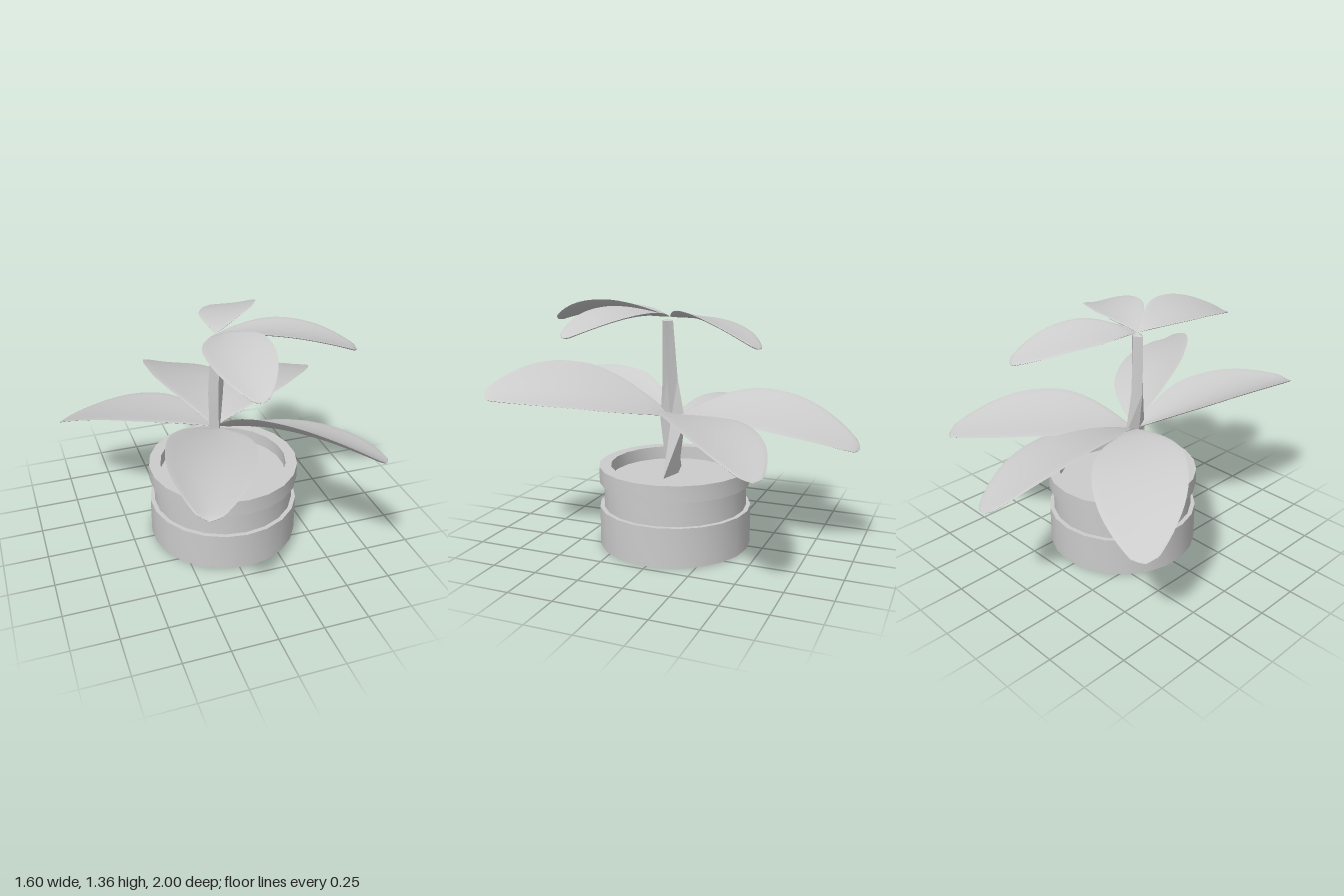
import * as THREE from 'three';
import { toCreasedNormals } from 'three/addons/utils/BufferGeometryUtils.js';

const grey = new THREE.MeshStandardMaterial({ color: 0xcccccc, side: THREE.DoubleSide });

function addMesh(parent, geometry, name) {
  const mesh = new THREE.Mesh(geometry, grey);
  mesh.name = name;
  parent.add(mesh);
}

// Skin over closed cross-sections: point(i, k) returns [x, y, z]
function loft(rings, sides, point) {
  const pos = [], index = [];
  for (let i = 0; i < rings; i++) {
    for (let k = 0; k < sides; k++) {
      pos.push(...point(i, k));
      if (i === rings - 1) continue;
      const a = i * sides + k, b = i * sides + (k + 1) % sides;
      index.push(a, a + sides, b, b, a + sides, b + sides);
    }
  }
  const g = new THREE.BufferGeometry();
  g.setAttribute('position', new THREE.Float32BufferAttribute(pos, 3));
  g.setIndex(index);
  return g;
}

// Leaf outline: (distance along midrib, relative half-width)
const outline = new THREE.SplineCurve([
  [0, 0], [0.03, 0.1], [0.12, 0.38], [0.25, 0.73], [0.38, 0.95], [0.5, 1.0], [0.63, 0.97],
  [0.76, 0.83], [0.88, 0.58], [0.96, 0.34], [0.985, 0.22], [1, 0],
].map(p => new THREE.Vector2(...p)));

// Arched, cupped leaf: roll tilts it sideways, cup lifts both edges
function leafGeometry({ base, tip, mid, width, roll, cup }) {
  const [bx, by, bz] = base, [tx, ty, tz] = tip;
  const dx = tx - bx, dz = tz - bz, len = Math.hypot(dx, dz);
  const rings = 34, sides = 20;
  const g = loft(rings, sides, (i, k) => {
    const p = outline.getPoint(i / (rings - 1));
    const s = p.x, w = Math.max(0, p.y);
    const angle = (k / sides) * Math.PI * 2;
    const t = Math.cos(angle);
    const rib = by * (1 - s) * (1 - 2 * s) + mid * 4 * s * (1 - s) + ty * s * (2 * s - 1);
    const thick = 0.009 * Math.sin(angle) * Math.min(1, w * 3);
    return [
      bx + dx * s - (dz / len) * t * w * width,
      rib + (roll * t + cup * t * t) * w + thick,
      bz + dz * s + (dx / len) * t * w * width,
    ];
  });
  return toCreasedNormals(g, 1.0);
}

export function createModel() {
  const model = new THREE.Group();
  model.name = 'pottedPlant';

  // Pot with recessed waist, rim and soil
  const profile = [
    [0, 0], [0.425, 0], [0.425, 0.22], [0.4, 0.22], [0.4, 0.36], [0.425, 0.36],
    [0.425, 0.45], [0.36, 0.45], [0.36, 0.37],
  ].map(p => new THREE.Vector2(...p));
  const pot = toCreasedNormals(new THREE.LatheGeometry(profile, 22), 0.6);
  pot.translate(0.042, 0, 0.005);
  addMesh(model, pot, 'pot');

  const soil = new THREE.CircleGeometry(0.365, 22);
  soil.rotateX(-Math.PI / 2).translate(0.042, 0.375, 0.005);
  addMesh(model, soil, 'soil');

  // Faceted stem: height, centre x, centre z, radius x, radius z
  const stemRings = [
    [0.37, -0.015, 0.045, 0.14, 0.035],
    [0.68, -0.02, 0.045, 0.03, 0.075],
    [0.92, -0.02, 0.06, 0.042, 0.045],
    [1.24, -0.01, 0.07, 0.042, 0.032],
    [1.25, -0.01, 0.07, 0, 0],
  ];
  const stem = loft(stemRings.length, 4, (i, k) => {
    const [y, cx, cz, rx, rz] = stemRings[i];
    const a = (k / 4) * Math.PI * 2;
    return [cx + rx * Math.cos(a), y, cz + rz * Math.sin(a)];
  });
  addMesh(model, toCreasedNormals(stem, 0.2), 'stem');

  // Lower whorl of five large leaves
  const low = [-0.02, 0.7, 0.04];
  const lowerLeaves = {
    lowerLeafBack: { tip: [-0.035, 0.61, -1], mid: 0.77, width: 0.235, roll: -0.06, cup: 0.02 },
    lowerLeafBackRight: { tip: [-0.77, 0.51, -0.63], mid: 0.7, width: 0.24, roll: -0.03, cup: 0.02 },
    lowerLeafBackLeft: { tip: [0.78, 0.63, -0.66], mid: 0.76, width: 0.23, roll: 0.04, cup: 0.025 },
    lowerLeafFrontRight: { tip: [-0.36, 0.815, 1], mid: 0.81, width: 0.225, roll: 0.02, cup: 0.06 },
    lowerLeafFrontLeft: { tip: [0.56, 0.86, 0.89], mid: 0.86, width: 0.21, roll: 0.095, cup: 0.045 },
  };
  for (const [name, leaf] of Object.entries(lowerLeaves)) {
    addMesh(model, leafGeometry({ base: low, ...leaf }), name);
  }

  // Upper whorl of three smaller leaves
  const high = [-0.02, 1.26, 0.06];
  const upperLeaves = {
    upperLeafBack: { tip: [0.31, 1.155, -0.54], mid: 1.265, width: 0.15, roll: 0.03, cup: 0.015 },
    upperLeafLeft: { tip: [0.645, 1.205, 0.35], mid: 1.29, width: 0.15, roll: 0.01, cup: 0.025 },
    upperLeafFront: { tip: [-0.03, 1.22, 0.765], mid: 1.295, width: 0.162, roll: -0.025, cup: 0.035 },
  };
  for (const [name, leaf] of Object.entries(upperLeaves)) {
    addMesh(model, leafGeometry({ base: high, ...leaf }), name);
  }
  return model;
}
